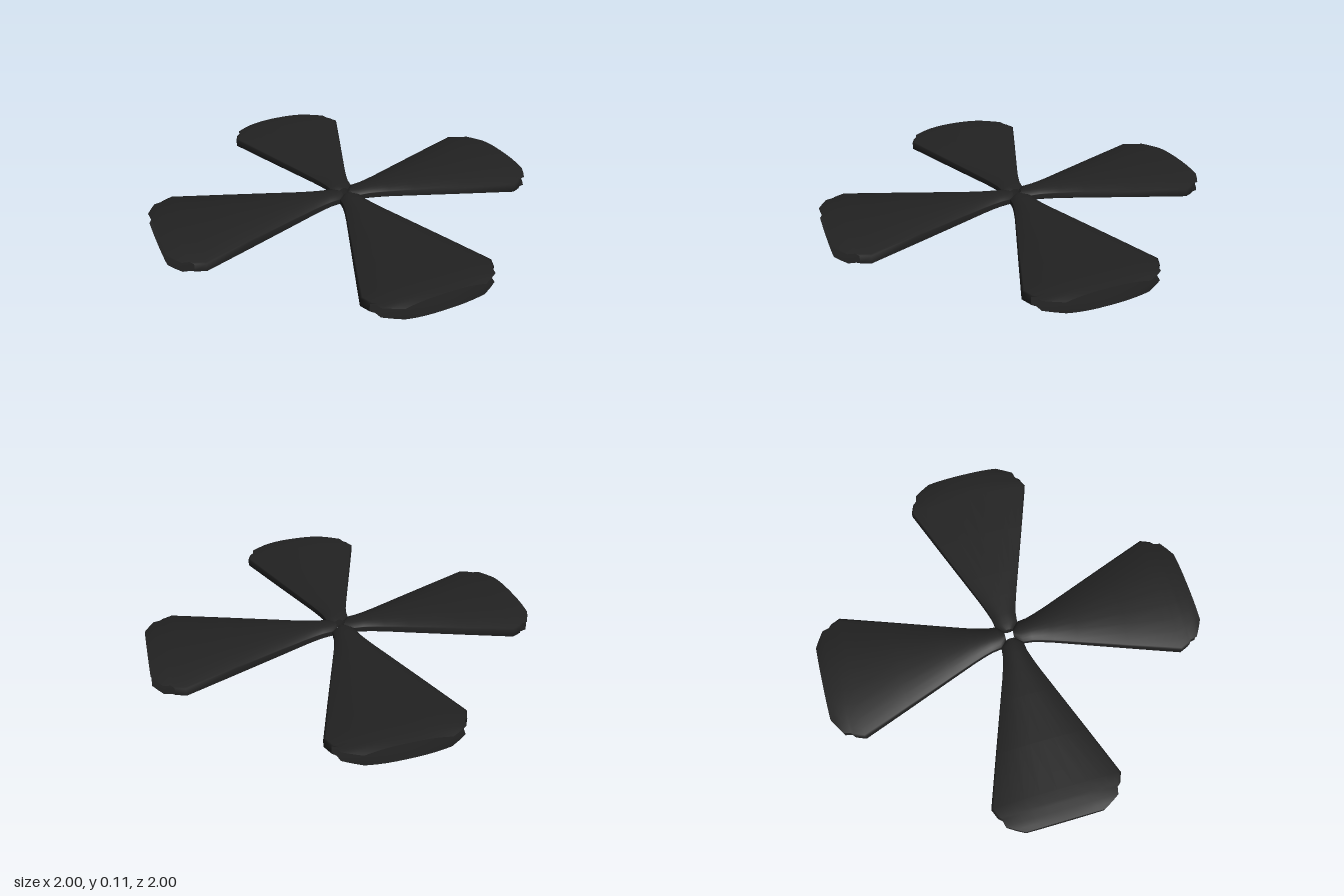
import * as THREE from 'three';

const MID = 0.055; // mid height of the rotor
const N = 12;      // strips across each skin

// Blade stations: [radius, half width, half height, half width of the full section]
const STATIONS = [
  [0.025, 0.025, 0.024, 0.025],
  [0.06, 0.06, 0.032, 0.06],
  [0.11, 0.066, 0.035, 0.066],
  [0.16, 0.08, 0.037, 0.08],
  [0.22, 0.1, 0.039, 0.1],
  [0.35, 0.148, 0.044, 0.148],
  [0.6, 0.241, 0.05, 0.241],
  [0.85, 0.333, 0.055, 0.333],
  [0.9, 0.312, 0.055, 0.312],
  [0.915, 0.293, 0.0545, 0.31],
  [0.95, 0.285, 0.052, 0.308],
  [0.975, 0.245, 0.05, 0.275],
  [1.0, 0.2, 0.046, 0.24],
];
const LAST_CLOSED = 8; // beyond this station the skins part into two lips

// Hollow blade: a lofted loop, open at the root and split at the tip
function bladeGeometry() {
  const ring = 2 * (N + 1);
  const pos = [];
  const index = [];
  for (const [r, w, h, full] of STATIONS) {
    for (const side of [1, -1]) {
      for (let j = 0; j <= N; j++) {
        const t = side * w * Math.sin((j / N - 0.5) * Math.PI);
        const s = t / full;
        pos.push(r, MID + side * h * (0.36 + 0.64 * (1 - s * s * Math.sqrt(Math.abs(s)))), t);
      }
    }
  }
  for (let i = 0; i < STATIONS.length - 1; i++) {
    for (let j = 0; j < ring; j++) {
      const edge = j === N || j === ring - 1;
      if (edge && i >= LAST_CLOSED) continue;
      const k = (j + 1) % ring;
      const a = i * ring + j, b = i * ring + k;
      const c = a + ring, d = b + ring;
      index.push(a, b, c, b, d, c);
    }
  }
  const g = new THREE.BufferGeometry();
  g.setAttribute('position', new THREE.Float32BufferAttribute(pos, 3));
  g.setIndex(index);
  g.computeVertexNormals();
  return g;
}

export function createModel() {
  const model = new THREE.Group();
  model.name = 'rotor';
  const black = new THREE.MeshStandardMaterial({ color: 0x222222, side: THREE.DoubleSide });
  black.name = 'matte black';

  // Four equal blades meeting around the square centre hole
  const geometry = bladeGeometry();
  ['leftBlade', 'backBlade', 'rightBlade', 'frontBlade'].forEach((name, i) => {
    const blade = new THREE.Mesh(geometry, black);
    blade.name = name;
    blade.rotation.y = i * Math.PI / 2;
    model.add(blade);
  });
  return model;
}
